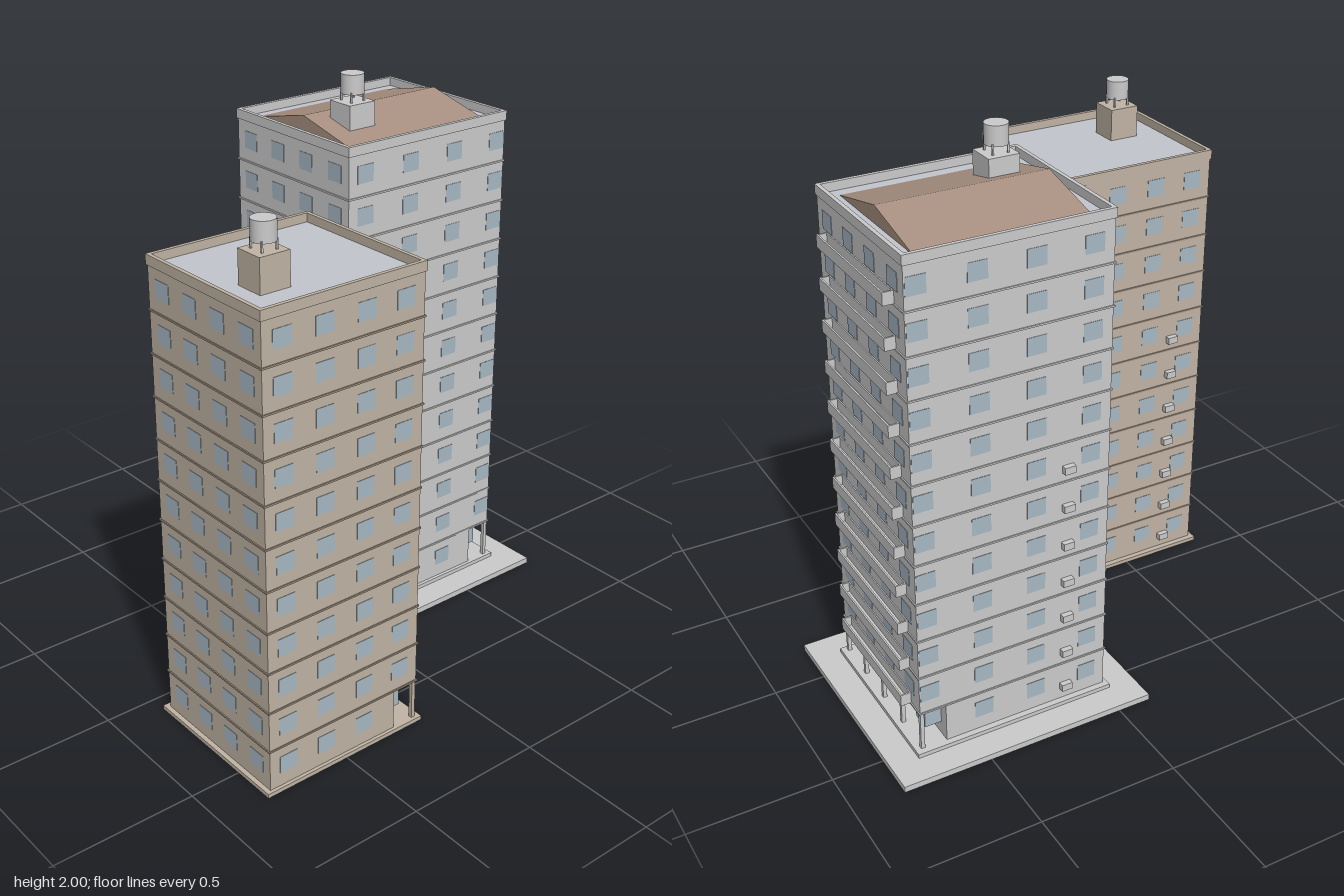
import * as THREE from 'three';

const material = (color) => new THREE.MeshStandardMaterial({ color });
const grey = material(0xcccccc);
const tan = material(0xc0b4a4);
const band = material(0xa89684);
const glass = material(0xa8b8c4);
const slate = material(0xc4c6ce);
const brown = material(0xa89080);
const FLOOR = 0.146;

// Box given by its minimum and maximum corners
function box(parent, name, mat, x0, x1, y0, y1, z0, z1) {
  const mesh = new THREE.Mesh(new THREE.BoxGeometry(x1 - x0, y1 - y0, z1 - z0), mat);
  mesh.position.set((x0 + x1) / 2, (y0 + y1) / 2, (z0 + z1) / 2);
  mesh.name = name;
  parent.add(mesh);
  return mesh;
}

// Rectangular ring of constant thickness, open in the middle
function ring(parent, name, mat, x0, x1, y0, y1, z0, z1, t) {
  const rect = (Type, i) => {
    const p = new Type();
    p.moveTo(x0 + i, -z1 + i);
    p.lineTo(x1 - i, -z1 + i);
    p.lineTo(x1 - i, -z0 - i);
    p.lineTo(x0 + i, -z0 - i);
    p.closePath();
    return p;
  };
  const shape = rect(THREE.Shape, 0);
  shape.holes.push(rect(THREE.Path, t));
  const geo = new THREE.ExtrudeGeometry(shape, { depth: y1 - y0, bevelEnabled: false });
  const mesh = new THREE.Mesh(geo.rotateX(-Math.PI / 2).translate(0, y0, 0), mat);
  mesh.name = name;
  parent.add(mesh);
}

// Slim post with flared brackets, seen as a profile in the z-y plane
function post(parent, mat, x, z, y0, y1, left, right) {
  const w = 0.007, f = 0.014;
  const s = new THREE.Shape();
  s.moveTo(-w, 0);
  s.lineTo(w, 0);
  s.lineTo(w, y1 - y0 - f);
  s.lineTo(w + right * f, y1 - y0);
  s.lineTo(-w - left * f, y1 - y0);
  s.lineTo(-w, y1 - y0 - f);
  s.closePath();
  const geo = new THREE.ExtrudeGeometry(s, { depth: 0.014, bevelEnabled: false });
  geo.translate(0, 0, -0.007).rotateY(-Math.PI / 2);
  const mesh = new THREE.Mesh(geo, mat);
  mesh.position.set(x, y0, z);
  mesh.name = 'arcadePost';
  parent.add(mesh);
}

// Water tank on four legs over a small stair house
function waterTank(parent, mat, x, z, roof, top) {
  box(parent, 'stairHouse', mat, x - 0.055, x + 0.055, roof, top - 0.095, z - 0.053, z + 0.053);
  for (const sx of [-1, 1]) for (const sz of [-1, 1]) {
    const lx = x + sx * 0.027, lz = z + sz * 0.027;
    box(parent, 'tankLeg', grey, lx - 0.003, lx + 0.003, top - 0.095, top - 0.06, lz - 0.003, lz + 0.003);
  }
  const tank = new THREE.Mesh(new THREE.CylinderGeometry(0.04, 0.04, 0.068, 24), grey);
  tank.position.set(x, top - 0.034, z);
  tank.name = 'waterTank';
  parent.add(tank);
}

function tower({ name, mat, lineMat, x0, x1, z0, z1, base, top, floors, recess, windowDepth, winX, winZ, acX, acY, tank }) {
  const g = new THREE.Group();
  g.name = name;
  const first = base + 0.148;
  const roof = top - 0.03;

  // Ground floor set back on the +x side, with full floors above
  box(g, 'groundFloor', mat, x0, recess, base, first, z0, z1);
  box(g, 'upperFloors', mat, x0, x1, first, roof - 0.004, z0, z1);
  box(g, 'roofDeck', slate, x0 + 0.005, x1 - 0.005, roof - 0.004, roof, z0 + 0.005, z1 - 0.005);
  ring(g, 'parapet', mat, x0 - 0.004, x1 + 0.004, roof - 0.004, top, z0 - 0.004, z1 + 0.004, 0.014);

  // Arcade posts, half brackets at the ends
  for (let i = 0; i <= 4; i++) {
    const z = THREE.MathUtils.lerp(z0 + 0.008, z1 - 0.008, i / 4);
    post(g, mat, x1 - 0.008, z, base, first, i > 0 ? 1 : 0, i < 4 ? 1 : 0);
  }

  const e = 0.0015, w = 0.034, h = 0.031;
  for (let f = 0; f < floors; f++) {
    const y = base + 0.08 + f * FLOOR;
    // Floor lines
    if (f > 0) {
      const ly = first + (f - 1) * FLOOR;
      ring(g, 'floorLine', lineMat, x0 - 0.004, x1 + 0.004, ly - 0.003, ly + 0.003, z0 - 0.004, z1 + 0.004, 0.006);
    }
    // Front and back windows
    winX.forEach((x, i) => {
      if (f === 0 && i === 3) return;
      box(g, 'frontWindow', glass, x - w, x + w, y - h, y + h, z1 - 0.005, z1 + e);
      box(g, 'backWindow', glass, x - w, x + w, y - h, y + h, z0 - e, z0 + 0.005);
    });
    // Side windows; those under the arcade stand out as bays
    for (const z of winZ) {
      const wx = f === 0 ? recess : x1;
      box(g, 'sideWindow', glass, wx - 0.005, wx + (f === 0 ? windowDepth : e), y - h, y + h, z - w, z + w);
      box(g, 'sideWindow', glass, x0 - e, x0 + 0.005, y - h, y + h, z - w, z + w);
    }
  }

  // Air conditioners up the back wall
  for (let i = 0; i < 7; i++) {
    const y = acY + i * 0.1455;
    box(g, 'airConditioner', grey, acX - 0.02, acX + 0.02, y - 0.013, y + 0.013, z0 - 0.02, z0);
  }
  waterTank(g, mat, tank[0], tank[1], roof, tank[2]);
  return g;
}

export function createModel() {
  const model = new THREE.Group();
  model.name = 'apartmentTowers';

  // Shorter tan tower
  const short = tower({
    name: 'shortTower', mat: tan, lineMat: band,
    x0: -0.803, x1: -0.195, z0: 0.085, z1: 0.65, base: 0.015, top: 1.655, floors: 11,
    recess: -0.29, windowDepth: 0.052,
    winX: [-0.73, -0.577, -0.42, -0.27], winZ: [0.58, 0.44, 0.3, 0.16],
    acX: -0.67, acY: 0.065, tank: [-0.643, 0.455, 1.835],
  });
  box(short, 'plinth', tan, -0.82, -0.177, 0, 0.015, 0.065, 0.662);
  model.add(short);

  // Taller grey tower
  const tall = tower({
    name: 'tallTower', mat: grey, lineMat: grey,
    x0: -0.005, x1: 0.7, z0: -0.548, z1: 0.062, base: 0.037, top: 1.825, floors: 12,
    recess: 0.605, windowDepth: 0.06,
    winX: [0.066, 0.265, 0.463, 0.662], winZ: [-0.01, -0.165, -0.32, -0.475],
    acX: 0.15, acY: 0.09, tank: [0.183, -0.148, 2.0],
  });
  box(tall, 'pavement', grey, -0.12, 0.82, 0, 0.022, -0.67, 0.175);
  box(tall, 'plinth', grey, -0.02, 0.72, 0.022, 0.037, -0.57, 0.075);

  // Low gabled roof, ridge along x
  const gable = new THREE.Shape();
  gable.moveTo(-0.258, 0);
  gable.lineTo(0.258, 0);
  gable.lineTo(0, 0.06);
  gable.closePath();
  const roof = new THREE.Mesh(new THREE.ExtrudeGeometry(gable, { depth: 0.595, bevelEnabled: false }), brown);
  roof.rotation.y = Math.PI / 2;
  roof.position.set(0.05, 1.795, -0.247);
  roof.name = 'gabledRoof';
  tall.add(roof);

  // Balconies: a floor slab with a surrounding rail wall
  for (let i = 0; i < 11; i++) {
    const y = 0.186 + i * FLOOR;
    box(tall, 'balconyFloor', grey, 0.7, 0.737, y, y + 0.006, -0.483, -0.004);
    ring(tall, 'balconyRail', grey, 0.698, 0.737, y, y + 0.043, -0.483, -0.004, 0.006);
  }
  model.add(tall);
  return model;
}
